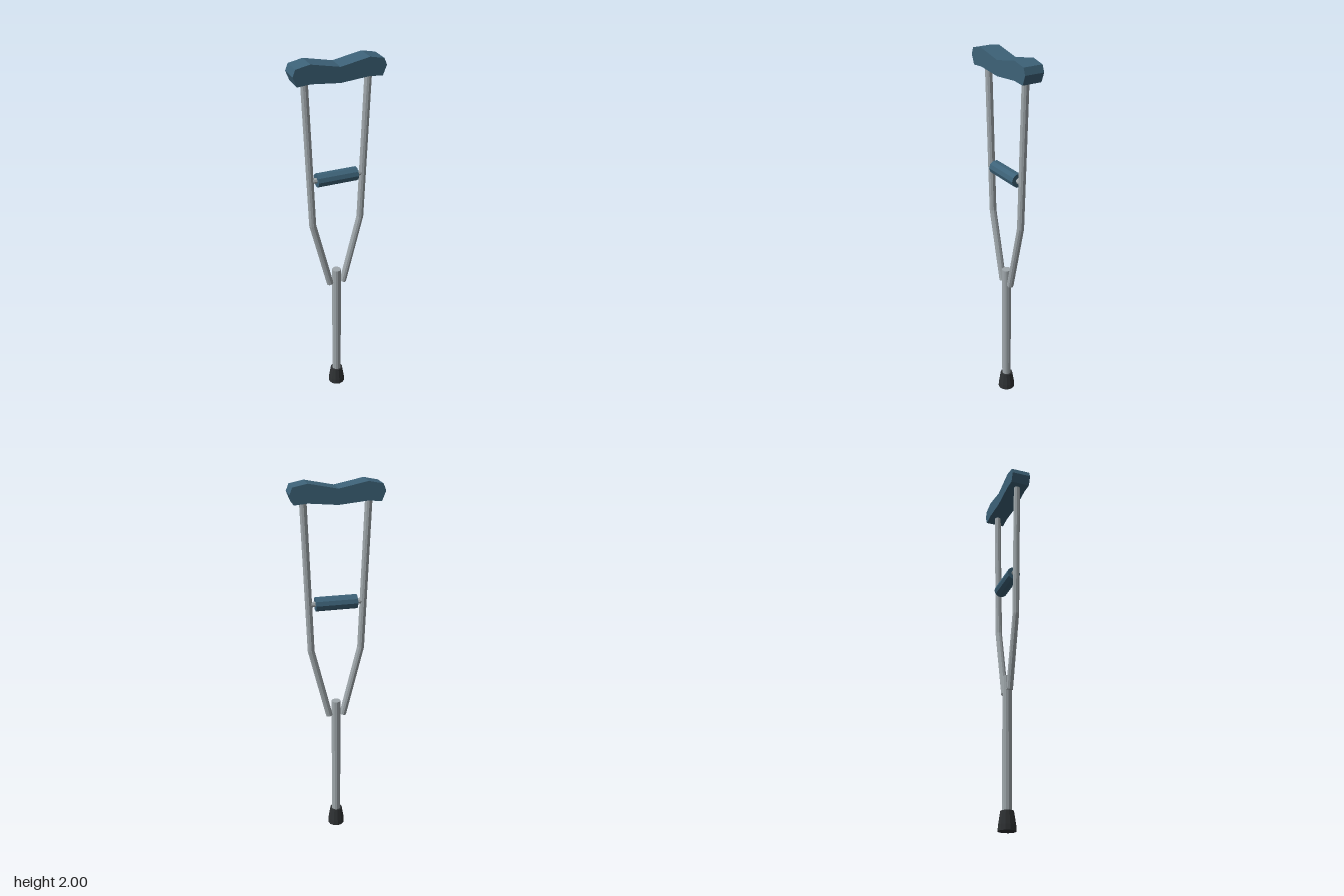
import * as THREE from 'three';

const paint = (color) => new THREE.MeshStandardMaterial({ color, flatShading: true });

export function createModel() {
  const model = new THREE.Group();
  const metal = paint(0xa0a8ac), foam = paint(0x3d6278), rubber = paint(0x2e3133);

  const add = (name, geometry, material, x = 0, y = 0, z = 0) => {
    const mesh = new THREE.Mesh(geometry, material);
    mesh.name = name;
    mesh.position.set(x, y, z);
    model.add(mesh);
    return mesh;
  };

  // Underarm pad: a saddle-shaped outline, extruded front to back
  const half = [[0.15, 2], [0.224, 1.985], [0.238, 1.95], [0.218, 1.9], [0.15, 1.906]];
  const outline = [
    [0, 1.97], ...half, [0, 1.892],
    ...half.map(([x, y]) => [-x, y]).reverse(),
  ].map(([x, y]) => new THREE.Vector2(x, y));
  const depth = 0.105;
  add('underarmPad', new THREE.ExtrudeGeometry(new THREE.Shape(outline), { depth, bevelEnabled: false }),
    foam, 0, 0, -depth / 2);

  // Bent side tubes: each ring of a cylinder is moved and tilted along the path
  const rings = [[0.166, 1.93, -0.038], [0.135, 1.115, -0.14], [0.038, 0.72, -0.241]];
  const bentTube = (side) => {
    const geometry = new THREE.CylinderGeometry(0.0185, 0.0185, 2, 10, 2);
    const pos = geometry.attributes.position;
    for (let i = 0; i < pos.count; i++) {
      const [cx, cy, tilt] = rings[Math.round(1 - pos.getY(i))];
      const x = pos.getX(i);
      pos.setXY(i, side * cx + x * Math.cos(tilt), cy + side * x * Math.sin(tilt));
    }
    geometry.computeVertexNormals();
    return geometry;
  };
  add('leftSideTube', bentTube(1), metal);
  add('rightSideTube', bentTube(-1), metal);

  // Hand grip on its crossbar
  const crossbar = add('gripCrossbar', new THREE.CylinderGeometry(0.015, 0.015, 0.29, 8), metal, 0, 1.375);
  const grip = add('handGrip', new THREE.CylinderGeometry(0.037, 0.037, 0.22, 10), foam, 0, 1.375);
  crossbar.rotation.z = grip.rotation.z = Math.PI / 2;

  // Lower shaft
  add('lowerShaft', new THREE.CylinderGeometry(0.025, 0.025, 0.755, 12), metal, 0, 0.4275);

  // Flared rubber foot
  const footProfile = [[0, 0], [0.047, 0], [0.045, 0.03], [0.034, 0.098], [0, 0.098]];
  add('rubberFoot', new THREE.LatheGeometry(footProfile.map(([r, y]) => new THREE.Vector2(r, y)), 12), rubber);

  return model;
}
